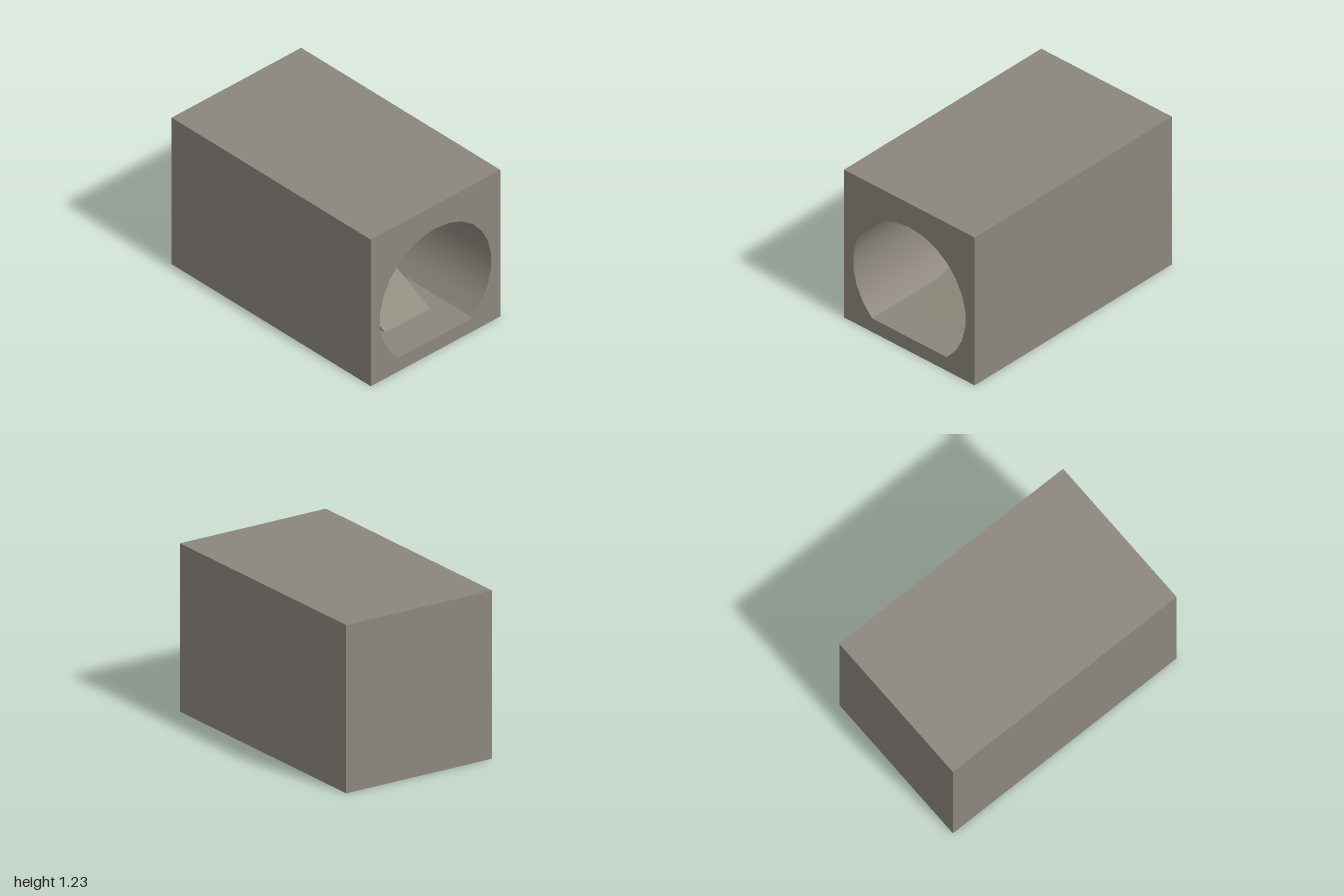
import * as THREE from 'three';
import { toCreasedNormals } from 'three/addons/utils/BufferGeometryUtils.js';

export function createModel() {
  const group = new THREE.Group();
  const stone = new THREE.MeshStandardMaterial({ color: 0x8c867d });
  stone.name = 'stone';
  const rampStone = new THREE.MeshStandardMaterial({ color: 0x8c897b });
  rampStone.name = 'rampStone';

  const W = 0.61, H = 1.23, FLOOR = 0.113, BACK = -0.995;
  const STEP1 = 0.42, STEP2 = 0.725;

  const add = (name, geometry, material = stone) => {
    const mesh = new THREE.Mesh(geometry, material);
    mesh.name = name;
    group.add(mesh);
    return mesh;
  };
  const polygon = (points) => new THREE.Shape(points.map(([x, y]) => new THREE.Vector2(x, y)));
  const extrude = (shape, depth) => new THREE.ExtrudeGeometry(shape, { depth, bevelEnabled: false });

  // Block pierced by a round tunnel with a flat floor
  const outline = polygon([[-W, 0], [W, 0], [W, H], [-W, H]]);
  const bore = [];
  for (let i = 0; i <= 20; i++) {
    const a = (-3.5 + i) * Math.PI * 2 / 26;
    bore.push(new THREE.Vector2(0.526 * Math.cos(a), 0.507 + 0.526 * Math.sin(a)));
  }
  outline.holes.push(new THREE.Path(bore));
  const block = extrude(outline, 1 - BACK);
  block.translate(0, 0, BACK);
  add('tunnelBlock', toCreasedNormals(block, 0.5));

  // Thin wall closing the back end
  const wall = new THREE.BoxGeometry(2 * W, H, 1 + BACK);
  wall.translate(0, H / 2, (BACK - 1) / 2);
  add('backWall', wall);

  // Raised floors, their sides set into the tunnel walls
  const platform = (name, bottom, top, front) => {
    const g = new THREE.BoxGeometry(1.1, top - bottom, front - BACK);
    g.translate(0, (top + bottom) / 2, (front + BACK) / 2);
    add(name, g);
  };
  platform('lowerPlatform', FLOOR, STEP1, 0.13);
  platform('upperPlatform', STEP1, STEP2, -0.45);

  // Wedge ramps climbing to each platform
  const ramp = (name, bottom, top, front, back) => {
    const g = extrude(polygon([[-front, bottom], [-back, bottom], [-back, top]]), 0.42);
    g.translate(0, 0, -0.21);
    g.rotateY(Math.PI / 2);
    add(name, g, rampStone);
  };
  ramp('lowerRamp', FLOOR, STEP1, 0.72, 0.13);
  ramp('upperRamp', STEP1, STEP2, -0.145, -0.45);

  // Chamfered block at the far end of the upper platform
  const end = extrude(polygon([[-0.21, STEP2], [0.21, STEP2], [0.21, 0.73],
    [0.105, 0.828], [-0.105, 0.828], [-0.21, 0.73]]), 0.25);
  end.translate(0, 0, BACK);
  add('chamferedEndBlock', end);

  return group;
}
